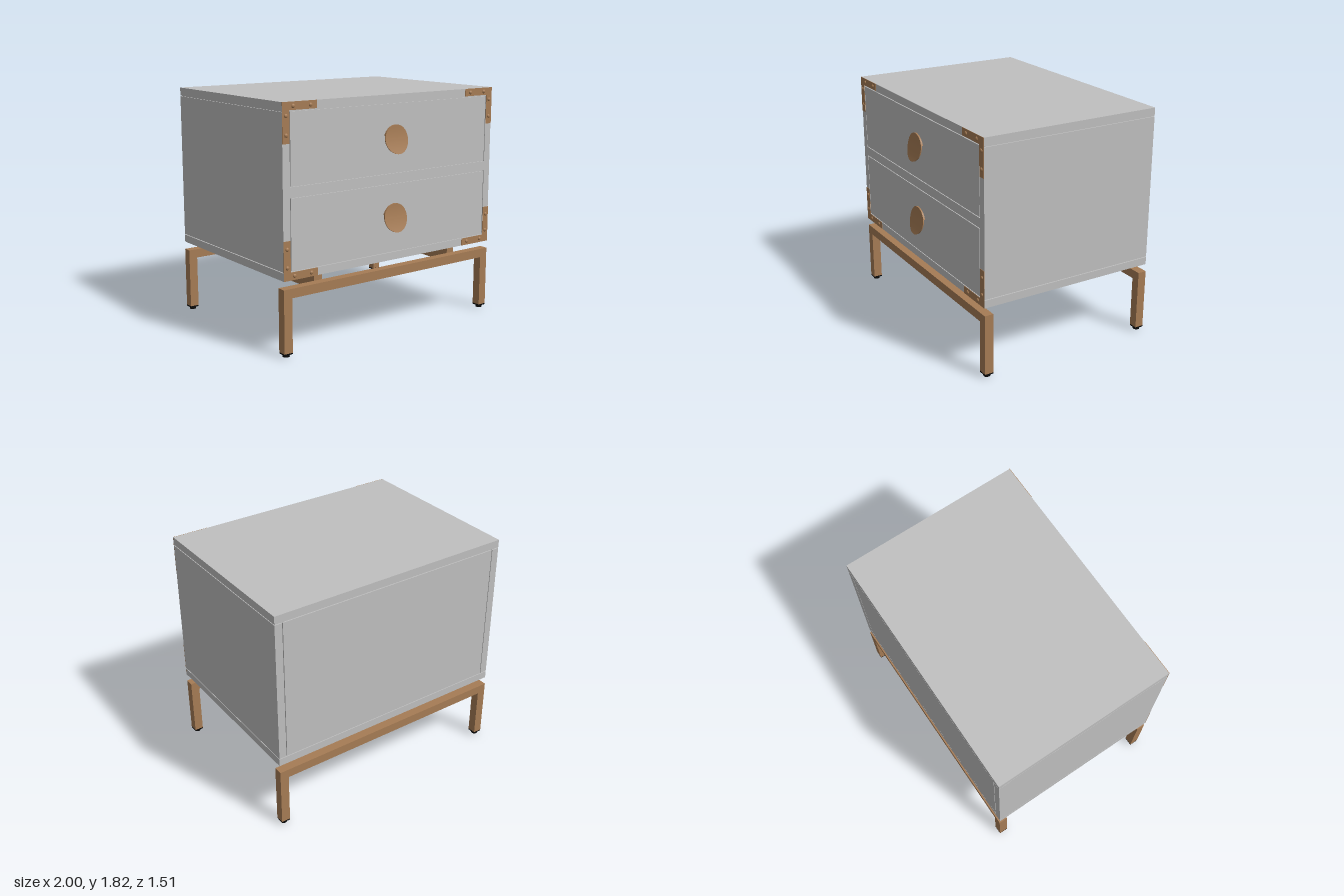
import * as THREE from 'three';
import { toCreasedNormals } from 'three/addons/utils/BufferGeometryUtils.js';

export function createModel() {
  const root = new THREE.Group();
  root.name = 'nightstand';
  const mat = (name, color) => {
    const m = new THREE.MeshStandardMaterial({ color });
    m.name = name;
    return m;
  };
  const grey = mat('greyLacquer', 0xc0c0c0);
  const bronze = mat('bronze', 0xa67c55);
  const black = mat('blackRubber', 0x080808);

  const add = (name, geo, material, parent = root) => {
    const mesh = new THREE.Mesh(geo, material);
    mesh.name = name;
    parent.add(mesh);
    return mesh;
  };
  // Box given by its two extreme corners
  const box = (name, material, x0, x1, y0, y1, z0, z1, parent) => {
    const mesh = add(name, new THREE.BoxGeometry(x1 - x0, y1 - y0, z1 - z0), material, parent);
    mesh.position.set((x0 + x1) / 2, (y0 + y1) / 2, (z0 + z1) / 2);
    return mesh;
  };

  // Cabinet boards, separated by narrow grooves over a recessed core
  const front = 0.7, back = -0.75, bottom = 0.567, top = 1.822;
  const lowY = 0.627, highY = 1.76, inX = 0.94, gap = 0.006;
  box('core', grey, -0.99, 0.99, 0.575, 1.815, back + 0.01, front - 0.01);
  box('topBoard', grey, -1, 1, highY, top, back, front);
  box('bottomBoard', grey, -1, 1, bottom, lowY, back, front);
  for (const s of [-1, 1]) {
    const a = s * inX, b = s;
    box('sidePanel', grey, Math.min(a, b), Math.max(a, b), lowY + gap, highY - gap, back, front);
  }
  box('backPanel', grey, -inX + gap, inX - gap, lowY + gap, highY - gap, back, back + 0.05);
  box('middleRail', grey, -inX, inX, 1.158, 1.232, front - 0.05, front);

  // Bent disc pull: a flat disc whose lower half curls away from the drawer
  const R = 0.108;
  const pullGeometry = () => {
    const h = 0.004, pts = [];
    for (let i = 0; i <= 6; i++) pts.push(new THREE.Vector2((R * i) / 6, -h));
    for (let i = 6; i >= 0; i--) pts.push(new THREE.Vector2((R * i) / 6, h));
    const g = new THREE.LatheGeometry(pts, 48);
    g.rotateX(Math.PI / 2);
    const p = g.attributes.position;
    for (let i = 0; i < p.count; i++) {
      const t = (R - p.getY(i)) / (2 * R);
      p.setZ(i, p.getZ(i) + 0.008 + 0.042 * t * t);
    }
    return toCreasedNormals(g, 0.7);
  };
  // Flat segment that holds the pull against the drawer
  const mountShape = new THREE.Shape();
  mountShape.absarc(0, 0, R, 0.3, Math.PI - 0.3, false);
  mountShape.closePath();

  for (const [y0, y1, cy] of [[1.238, highY - gap, 1.49], [lowY + gap, 1.152, 0.897]]) {
    const drawer = new THREE.Group();
    drawer.name = 'drawer';
    root.add(drawer);
    box('drawerFront', grey, -inX + gap, inX - gap, y0, y1, front - 0.05, front, drawer);
    add('pull', pullGeometry(), bronze, drawer).position.set(0, cy, front);
    const mountGeo = new THREE.ExtrudeGeometry(mountShape, { depth: 0.011, bevelEnabled: false, curveSegments: 24 });
    add('pullMount', mountGeo, bronze, drawer).position.set(0, cy, front);
  }

  // Riveted L brackets on the four front corners, drawn from the corner inwards
  const rivetSpots = [[0.09, 0.03], [0.235, 0.03], [0.03, 0.095], [0.03, 0.228]];
  for (const sx of [-1, 1]) {
    for (const sy of [-1, 1]) {
      const bracket = new THREE.Group();
      bracket.name = 'cornerBracket';
      bracket.position.set(sx, sy > 0 ? top : bottom, front);
      root.add(bracket);
      const corners = [[0, 0], [0.29, 0], [0.29, 0.058], [0.058, 0.058], [0.058, 0.287], [0, 0.287]];
      const shape = new THREE.Shape(corners.map(([x, y]) => new THREE.Vector2(-sx * x, -sy * y)));
      add('bracketPlate', new THREE.ExtrudeGeometry(shape, { depth: 0.003, bevelEnabled: false }), bronze, bracket);
      for (const [x, y] of rivetSpots) {
        const g = new THREE.SphereGeometry(0.015, 16, 6, 0, Math.PI * 2, 0, Math.PI / 2);
        g.rotateX(Math.PI / 2);
        g.scale(1, 1, 0.65);
        add('rivet', g, bronze, bracket).position.set(-sx * x, -sy * y, 0.003);
      }
    }
  }

  // Base: front and back leg frames joined by two runners under the cabinet
  for (const [z0, z1] of [[0.63, front], [-0.755, -0.685]]) {
    const frame = new THREE.Group();
    frame.name = 'legFrame';
    root.add(frame);
    box('crossRail', bronze, -1, 1, 0.435, 0.505, z0, z1, frame);
    for (const s of [-1, 1]) {
      const cx = s * 0.965, cz = (z0 + z1) / 2;
      box('leg', bronze, cx - 0.035, cx + 0.035, 0.03, 0.435, z0, z1, frame);
      box('footPlate', black, cx - 0.035, cx + 0.035, 0.02, 0.03, z0, z1, frame);
      add('foot', new THREE.CylinderGeometry(0.026, 0.026, 0.02, 20), black, frame).position.set(cx, 0.01, cz);
    }
  }
  for (const s of [-1, 1]) {
    box('runner', bronze, s * 0.655 - 0.035, s * 0.655 + 0.035, 0.435, bottom, -0.685, 0.63);
  }

  return root;
}
